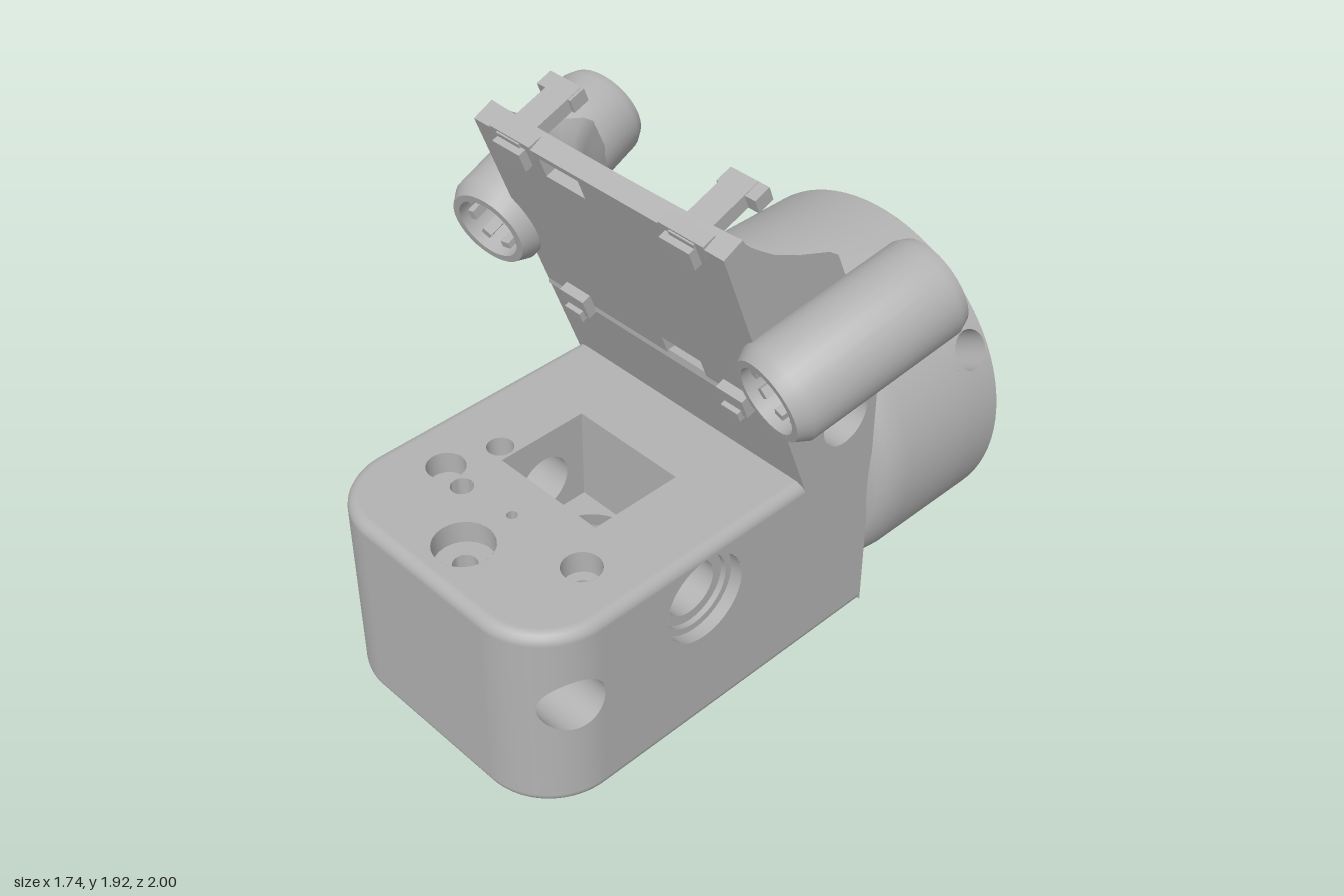
import * as THREE from 'three';
import { toCreasedNormals } from 'three/addons/utils/BufferGeometryUtils.js';
import { ParametricGeometry } from 'three/addons/geometries/ParametricGeometry.js';

const { lerp } = THREE.MathUtils;
const PI = Math.PI;
const V2 = (x, y) => new THREE.Vector2(x, y);
const circle = (x, y, r) => new THREE.Path().absarc(x, y, r, 0, PI * 2, true);

function rect(x0, x1, y0, y1) {
  return new THREE.Shape([V2(x0, y0), V2(x1, y0), V2(x1, y1), V2(x0, y1)]);
}
function roundedRect(x0, x1, y0, y1, r) {
  const s = new THREE.Shape();
  s.absarc(x1 - r, y0 + r, r, -PI / 2, 0);
  s.absarc(x1 - r, y1 - r, r, 0, PI / 2);
  s.absarc(x0 + r, y1 - r, r, PI / 2, PI);
  s.absarc(x0 + r, y0 + r, r, PI, PI * 1.5);
  s.closePath();
  return s;
}
const withHoles = (shape, holes) => { shape.holes.push(...holes); return shape; };
const grid = (f, nu, nv = 1) => new ParametricGeometry(f, nu, nv);
const lathe = (pts, n = 32) =>
  toCreasedNormals(new THREE.LatheGeometry(pts.map(p => V2(p[0], p[1])), n), 0.6);
// flat sheet at a height (shape x,y -> x,z) and at a side (shape x,y -> z,y)
const sheetY = (shape, y) => new THREE.ShapeGeometry(shape, 24).rotateX(PI / 2).translate(0, y, 0);
const sheetX = (shape, x) => new THREE.ShapeGeometry(shape, 24).rotateY(-PI / 2).translate(x, 0, 0);

// radius factor that turns a circle into a square
const square = a => 1 / Math.max(Math.abs(Math.cos(a)), Math.abs(Math.sin(a)));

// plan of the block: straight sides and a rounded front, inset by d
function plan(u, d) {
  const t = Math.abs(2 * u - 1), s = u < 0.5 ? -1 : 1;
  if (t < 0.1) return V2(s * 2.75 * t, 1 - d);
  if (t < 0.8) {
    const a = (t - 0.1) / 0.7 * PI / 2;
    return V2(s * (0.275 + (0.25 - d) * Math.sin(a)), 0.75 + (0.25 - d) * Math.cos(a));
  }
  return V2(s * (0.525 - d), 0.75 - (t - 0.8) / 0.2 * 1.18);
}
const sideX = z => z <= 0.75 ? 0.525 : 0.275 + Math.sqrt(Math.max(0, 0.0625 - (z - 0.75) ** 2));
const frontZ = x => 0.75 + Math.sqrt(0.0625 - Math.max(0, Math.abs(x) - 0.275) ** 2);
const planShape = d => new THREE.Shape(Array.from({ length: 81 }, (_, i) => plan(i / 80, d)));

// thickness of the slanted plate at its side edges, by height
const EDGE = [[1.12, 0.31], [1.2, 0.32], [1.3, 0.36], [1.5, 0.4], [1.64, 0.39], [1.68, 0.29],
  [1.72, 0.2], [1.78, 0.13], [1.83, 0.08], [1.9, 0.06]];
function edgeThickness(y) {
  const i = Math.max(1, EDGE.findIndex(e => e[0] >= y));
  const [a, b] = [EDGE[i - 1], EDGE[i]];
  return lerp(a[1], b[1], (y - a[0]) / (b[0] - a[0]));
}
const plateFront = y => -0.11 + 0.371 * (y - 0.78);

// one piece of the slanted plate, with a scooped back
function platePiece(x0, x1, y0, y1) {
  const g = new THREE.BoxGeometry(x1 - x0, y1 - y0, 1, Math.ceil((x1 - x0) / 0.035), Math.ceil((y1 - y0) / 0.03), 1);
  g.translate((x0 + x1) / 2, (y0 + y1) / 2, 0);
  const p = g.attributes.position;
  for (let i = 0; i < p.count; i++) {
    const x = p.getX(i), y = p.getY(i), k = (y - 1.12) / 0.74;
    const yf = y - 0.035 * k, zf = plateFront(yf);
    if (p.getZ(i) > 0) { p.setY(i, yf); p.setZ(i, zf); continue; }
    const mid = lerp(0.13, 0.06, k), w = 1 - Math.sqrt(1 - (x / 0.56) ** 2);
    p.setZ(i, zf - lerp(mid, Math.max(mid, edgeThickness(y)), Math.min(1, w / 0.652)));
  }
  g.computeVertexNormals();
  return g;
}

export function createModel() {
  const model = new THREE.Group();
  const grey = new THREE.MeshStandardMaterial({ color: 0xb2b2b2, side: THREE.DoubleSide });
  grey.name = 'grey';
  const add = (name, geometry, parent = model) => {
    const m = new THREE.Mesh(geometry, grey);
    m.name = name;
    parent.add(m);
    return m;
  };

  // ---- block: front and sides, with cross holes
  const Y0 = 0.12, Y1 = 0.76;
  add('blockFront', grid((u, v, t) => {
    const x = lerp(-0.425, 0.425, u);
    t.set(x, lerp(Y0, Y1, v), frontZ(x));
  }, 34));
  for (const s of [-1, 1]) {
    add('blockSide', sheetX(withHoles(rect(-0.43, 0.73, Y0, Y1), [circle(0.325, 0.6, 0.16)]), s * 0.525));
    for (const [a, b] of [[Y0, 0.39], [0.61, Y1]]) {
      add('blockCorner', grid((u, v, t) => {
        const z = lerp(0.73, 0.95, u);
        t.set(s * sideX(z), lerp(a, b, v), z);
      }, 16));
    }
    add('blockCornerHoleRim', grid((u, v, t) => {
      const a = u * PI * 2, r = lerp(0.1, 0.11 * square(a), v), z = 0.84 + r * Math.cos(a);
      t.set(s * sideX(z), 0.5 + r * Math.sin(a), z);
    }, 48, 3));
    add('sideBore', lathe([[0.16, 0.525], [0.16, 0.48], [0.135, 0.48], [0.135, 0.46], [0.1, 0.46], [0.1, 0.22]])
      .rotateZ(-s * PI / 2).translate(0, 0.6, 0.325));
    add('windowSideWall', sheetX(withHoles(rect(0.155, 0.495, 0.46, 0.8), [circle(0.325, 0.6, 0.1)]), s * 0.22));
  }
  add('crossTunnel', grid((u, v, t) => {
    const a = u * PI * 2, z = 0.84 + 0.1 * Math.cos(a);
    t.set(lerp(-1, 1, v) * sideX(z), 0.5 + 0.1 * Math.sin(a), z);
  }, 48));
  for (const [y, dir] of [[Y1, 1], [Y0, -1]]) {
    add('blockEdge', grid((u, v, t) => {
      const p = plan(u, 0.04 * (1 - Math.cos(v * PI / 2)));
      t.set(p.x, y + dir * 0.04 * Math.sin(v * PI / 2), p.y);
    }, 80, 5));
  }
  add('blockBack', new THREE.PlaneGeometry(1.05, 0.7).rotateY(PI).translate(0, 0.44, -0.43));

  // ---- block top: window and stepped holes [x, z, outer r, floor y, inner r, end y]
  const screws = [[-0.32, 0.64, 0.065, 0.72, 0.028, 0.32], [0.32, 0.64, 0.065, 0.72, 0.028, 0.32],
    [0, 0.83, 0.1, 0.72, 0.04, 0.59], [-0.275, 0.455, 0.045, 0.68, 0.01, 0.66],
    [-0.21, 0.665, 0.038, 0.68, 0.01, 0.66], [0, 0.64, 0.018, 0.7, 0.005, 0.69]];
  add('blockTop', sheetY(withHoles(planShape(0.04), [rect(-0.22, 0.22, 0.155, 0.495),
    ...screws.map(h => circle(h[0], h[1], h[2]))]), 0.8));
  for (const [x, z, R, floor, r, end] of screws) {
    add('screwHole', lathe([[R, 0.8], [R, floor], [r, floor], [r, end]], 24).translate(x, 0, z));
  }
  for (const z of [0.155, 0.495]) {
    add('windowEndWall', new THREE.PlaneGeometry(0.44, 0.34).translate(0, 0.63, z));
  }
  add('windowFloor', sheetY(withHoles(rect(-0.22, 0.22, 0.155, 0.495), [circle(0, 0.325, 0.165)]), 0.46));
  add('windowBore', lathe([[0.165, 0.46], [0.18, 0.4], [0.25, 0.4], [0.25, 0.32]], 40).translate(0, 0, 0.325));

  // ---- block underside: rounded cavity
  const cavity = () => roundedRect(-0.41, 0.41, -0.15, 0.87, 0.12);
  add('blockBottom', sheetY(withHoles(planShape(0.04), [cavity()]), 0.08));
  add('cavityCeiling', sheetY(withHoles(cavity(), [circle(0, 0.325, 0.25),
    circle(-0.32, 0.64, 0.028), circle(0.32, 0.64, 0.028)]), 0.32));
  const rim = cavity();
  add('cavityWall', grid((u, v, t) => {
    const p = rim.getPointAt(Math.min(1, Math.max(0, u)));
    t.set(p.x, lerp(0.08, 0.32, v), p.y);
  }, 120));

  // ---- round socket at the back
  add('socketShell', lathe([[0.525, -0.42], [0.555, -0.435], [0.575, -0.46], [0.589, -0.5], [0.595, -0.55], [0.595, -0.84]], 72)
    .rotateX(PI / 2).translate(0, 0.6, 0));
  add('socketBore', lathe([[0.4, -0.84], [0.4, -0.75], [0.29, -0.75], [0.29, -0.6], [0, -0.6]], 64)
    .rotateX(PI / 2).translate(0, 0.6, 0));
  add('socketRim', new THREE.RingGeometry(0.4, 0.595, 72).rotateY(PI).translate(0, 0.6, -1));
  const onCylinder = (t, R, a, z) => t.set(R * Math.cos(a), 0.6 + R * Math.sin(a), z);
  for (let k = 0; k < 3; k++) {
    const a0 = PI / 6 + k * PI * 2 / 3;
    for (const R of [0.595, 0.4]) {
      const h = 0.08 / R;
      add('socketBand', grid((u, v, t) =>
        onCylinder(t, R, lerp(a0 + h, a0 + PI * 2 / 3 - h, u), lerp(-1, -0.84, v)), 24));
      add('socketHoleRim', grid((u, v, t) => {
        const a = u * PI * 2, r = lerp(0.07, 0.08 * square(a), v);
        onCylinder(t, R, a0 + r * Math.cos(a) / R, -0.92 + r * Math.sin(a));
      }, 32, 2));
    }
    add('socketHole', grid((u, v, t) => {
      const a = u * PI * 2, R = lerp(0.595, 0.4, v);
      onCylinder(t, R, a0 + 0.07 * Math.cos(a) / R, -0.92 + 0.07 * Math.sin(a));
    }, 32));
  }

  // ---- neck base with a cross hole, and its flat cap
  const base = new THREE.Shape([V2(-0.118, 0.76), V2(plateFront(1.1), 1.1), V2(-0.43, 1.1), V2(-0.43, 0.76)]);
  base.holes.push(circle(-0.285, 0.968, 0.1));
  add('neckBase', new THREE.ExtrudeGeometry(base, { depth: 1.05, bevelEnabled: false, curveSegments: 24 })
    .rotateY(-PI / 2).translate(0.525, 0, 0));
  const cap = withHoles(rect(-0.525, 0.525, -0.43, plateFront(1.115)), [circle(0, -0.29, 0.05)]);
  add('neckCap', new THREE.ExtrudeGeometry(cap, { depth: 0.03, bevelEnabled: false, curveSegments: 16 })
    .rotateX(PI / 2).translate(0, 1.13, 0));

  // ---- slanted plate, tiled around its two slots
  for (const r of [[-0.525, 0.04, 1.12, 1.194], [0.21, 0.525, 1.12, 1.194], [-0.525, 0.525, 1.194, 1.765],
    [-0.525, -0.24, 1.765, 1.84], [-0.07, 0.525, 1.765, 1.84], [-0.525, 0.525, 1.84, 1.86]]) {
    add('slantedPlate', platePiece(...r));
  }

  // ---- clips and side tubes, mirrored
  for (const s of [-1, 1]) {
    const clip = (name, w, h, d, x, y, z) => {
      const m = add(name, new THREE.BoxGeometry(w, h, d));
      m.position.set(s * x, y, z);
      m.rotation.x = 0.354;
    };
    clip('topClipBar', 0.1, 0.05, 0.27, 0.365, 1.85, 0.15);
    clip('topClipEnd', 0.15, 0.05, 0.06, 0.38, 1.885, 0.05);
    clip('topClipWing', 0.18, 0.05, 0.05, 0.36, 1.82, 0.25);
    clip('topClipLip', 0.12, 0.07, 0.05, 0.355, 1.78, 0.265);
    clip('lowerClip', 0.11, 0.08, 0.06, 0.355, 1.13, 0.025);
    clip('lowerClipLip', 0.07, 0.04, 0.08, 0.355, 1.095, 0.02);

    const tube = new THREE.Group();
    tube.name = 'sideTube';
    const front = new THREE.Vector3(s * 0.615, 1.345, 0.18), back = new THREE.Vector3(s * 0.71, 1.515, -0.41);
    tube.position.copy(front).lerp(back, 0.5);
    tube.quaternion.setFromUnitVectors(new THREE.Vector3(0, 1, 0), back.clone().sub(front).normalize());
    model.add(tube);
    add('tubeShell', lathe([[0.115, -0.315], [0.14, -0.315], [0.165, -0.27], [0.165, 0.28], [0.15, 0.315],
      [0.115, 0.315], [0.115, -0.315]], 32), tube);
    for (let i = 0; i < 8; i++) {
      const a = i * PI / 4;
      const rib = add('tubeRib', new THREE.BoxGeometry(0.03, 0.56, 0.035), tube);
      rib.position.set(0.105 * Math.cos(a), 0, 0.105 * Math.sin(a));
      rib.rotation.y = -a;
    }
  }
  return model;
}
